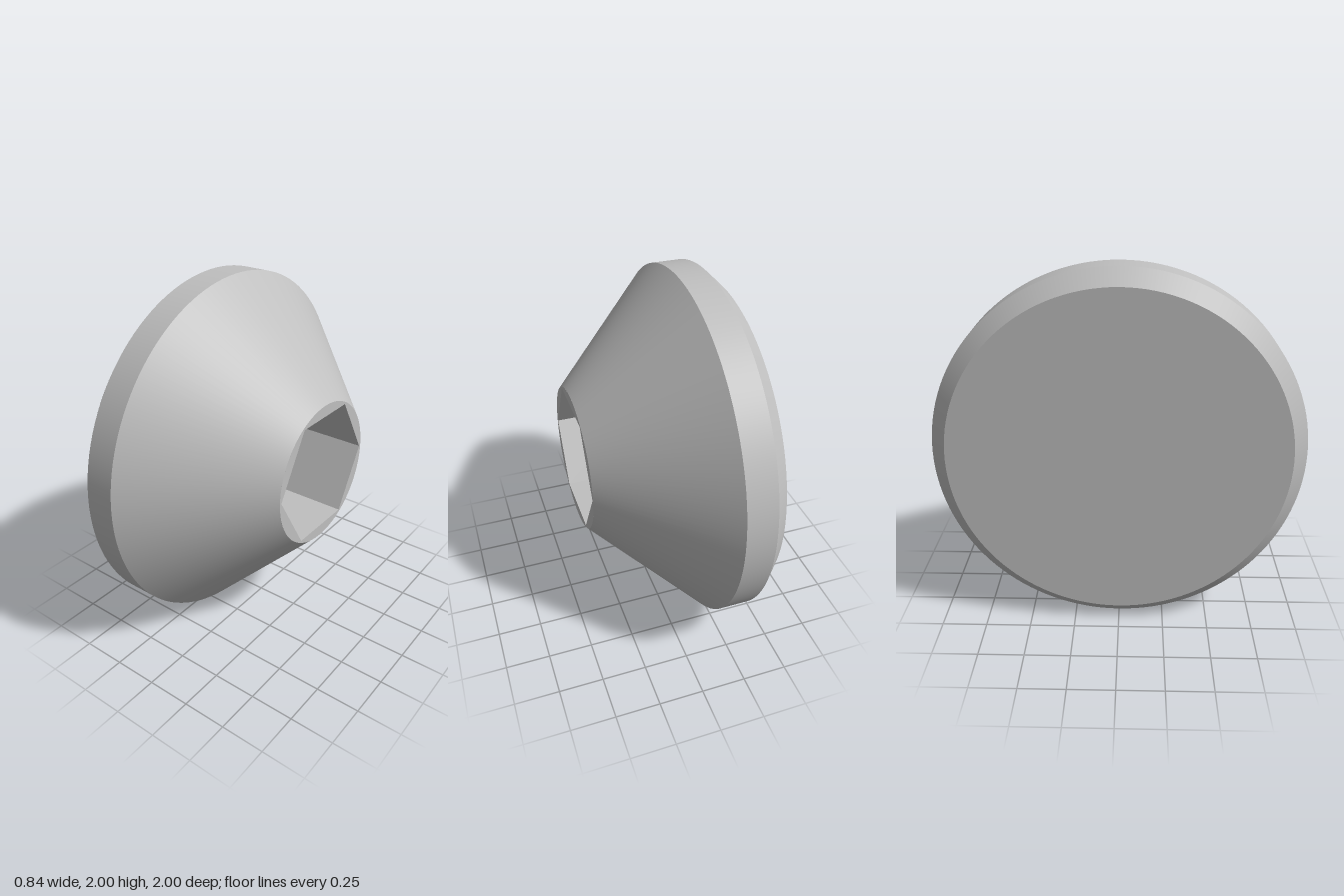
import * as THREE from 'three';

export function createModel() {
  const model = new THREE.Group();
  const steel = new THREE.MeshStandardMaterial({ color: 0xbfbfbf });
  steel.name = 'steel grey';

  const add = (name, geometry) => {
    const mesh = new THREE.Mesh(geometry, steel);
    mesh.name = name;
    mesh.position.y = 1;
    model.add(mesh);
  };

  // Turned body along x: each band is its own lathe so the edges stay sharp
  const band = (name, x0, r0, x1, r1) => {
    const profile = [new THREE.Vector2(r0, x0), new THREE.Vector2(r1, x1)];
    add(name, new THREE.LatheGeometry(profile, 128).rotateZ(-Math.PI / 2));
  };
  const back = -0.42, front = 0.42, rimRadius = 0.405;
  band('backChamfer', back, 0.915, -0.335, 1);
  band('rimBand', -0.335, 1, -0.17, 1);
  band('taperedBody', -0.17, 1, front, rimRadius);

  // Flat back disc
  add('backFace', new THREE.CircleGeometry(0.915, 128).rotateY(-Math.PI / 2).translate(back, 0, 0));

  // Front face with the hexagonal socket cut into it
  const depth = 0.5, hexRadius = 0.393;
  const face = new THREE.Shape().absarc(0, 0, rimRadius, 0, Math.PI * 2);
  const hexagon = Array.from({ length: 6 }, (_, i) => {
    const a = (-i * Math.PI) / 3;
    return new THREE.Vector2(hexRadius * Math.cos(a), hexRadius * Math.sin(a));
  });
  face.holes.push(new THREE.Path(hexagon));
  const socket = new THREE.ExtrudeGeometry(face, { depth, bevelEnabled: false, curveSegments: 128 });
  add('hexSocket', socket.rotateY(Math.PI / 2).translate(front - depth, 0, 0));

  // Socket floor
  add('socketFloor', new THREE.CircleGeometry(hexRadius, 6).rotateY(Math.PI / 2).translate(front - depth + 0.001, 0, 0));

  return model;
}
